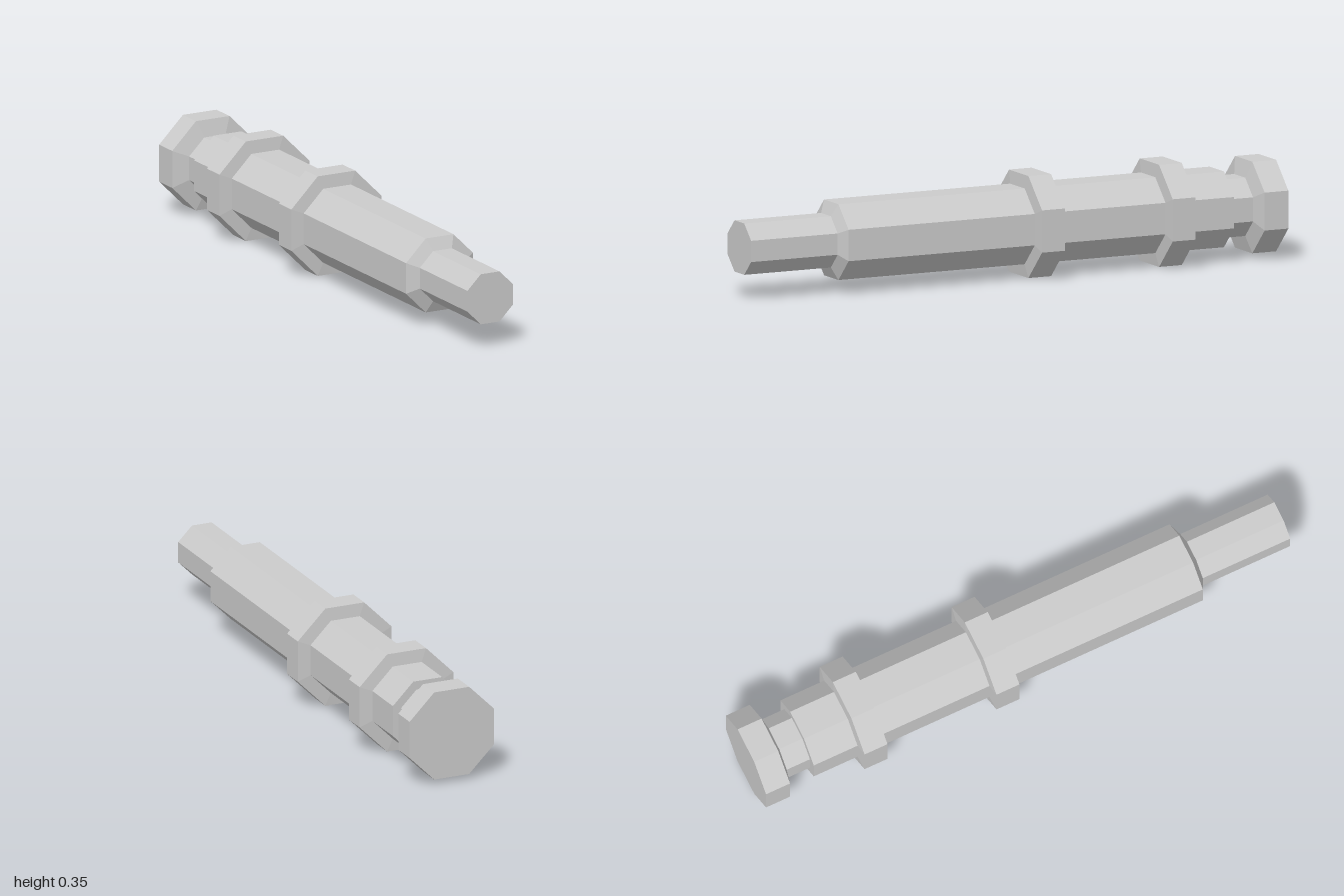
import * as THREE from 'three';

const SIDES = 8;
const AXIS_HEIGHT = 0.175;
const material = new THREE.MeshStandardMaterial({ color: 0xcccccc, flatShading: true });

// Octagonal turned part along z; profile is [distance to flat, z], back to front.
function turned(name, profile) {
  const points = profile.map(([a, z]) => new THREE.Vector2(a / Math.cos(Math.PI / SIDES), z));
  const geometry = new THREE.LatheGeometry(points, SIDES, Math.PI / SIDES);
  geometry.rotateX(Math.PI / 2);
  const mesh = new THREE.Mesh(geometry, material);
  mesh.name = name;
  mesh.position.y = AXIS_HEIGHT;
  return mesh;
}

export function createModel() {
  const group = new THREE.Group();
  group.name = 'steppedShaft';

  // End knob with a bevelled front shoulder
  group.add(turned('endKnob', [[0, -1], [0.157, -1], [0.157, -0.91], [0.1, -0.895], [0, -0.895]]));

  // Narrow neck between knob and shaft
  group.add(turned('neck', [[0.1, -0.9], [0.1, -0.8]]));

  // Main shaft, tapering at the front
  group.add(turned('shaft', [[0, -0.808], [0.13, -0.808], [0.13, 0.652], [0.088, 0.672], [0, 0.672]]));

  // Two collars with slightly sloped faces
  [-0.596, -0.101].forEach((z, i) => {
    group.add(turned(i === 0 ? 'rearCollar' : 'frontCollar', [
      [0.128, z - 0.048], [0.175, z - 0.043], [0.175, z + 0.043], [0.128, z + 0.048],
    ]));
  });

  // Slim front tip
  group.add(turned('tip', [[0.088, 0.67], [0.088, 1], [0, 1]]));

  return group;
}
